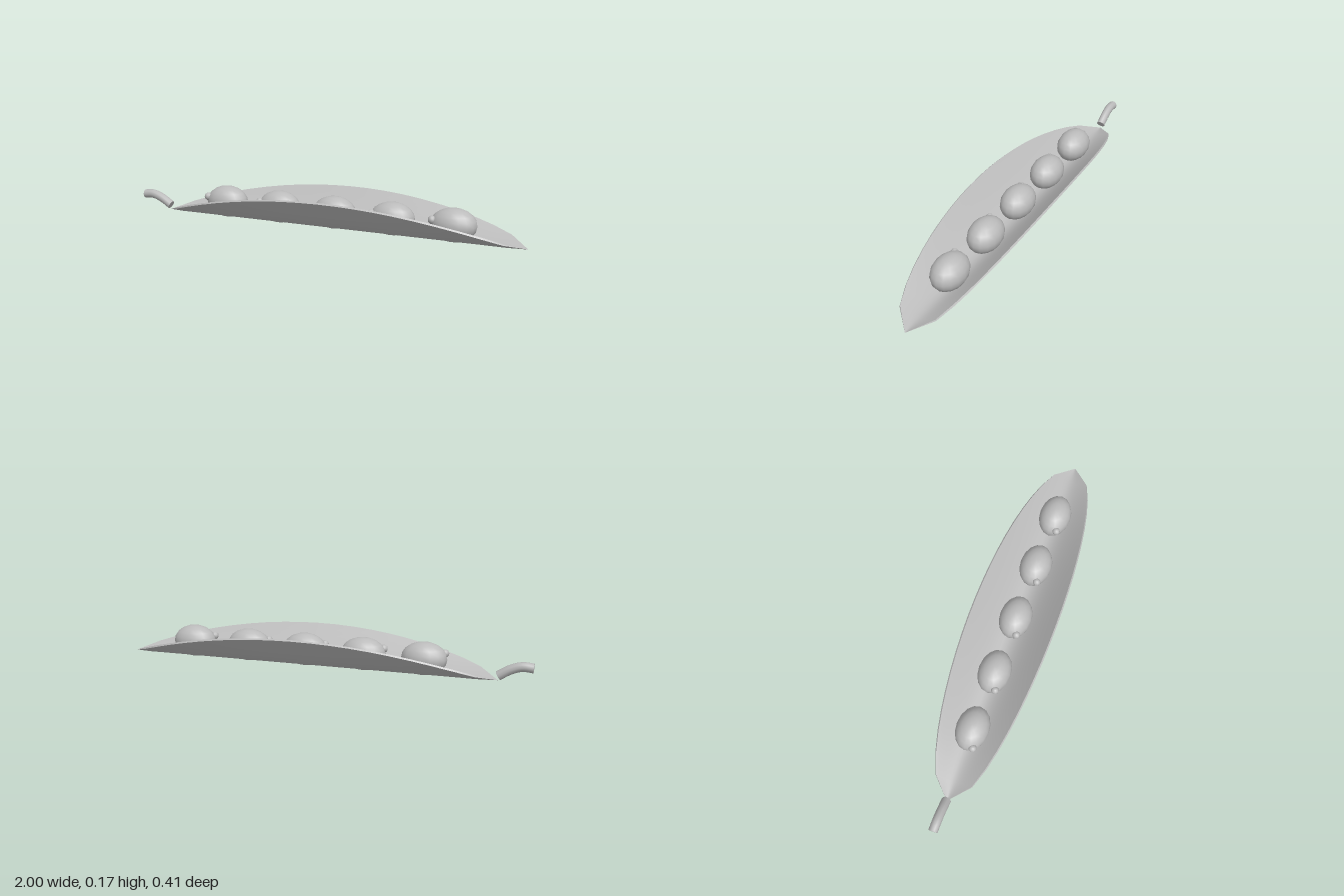
import * as THREE from 'three';

const grey = new THREE.MeshStandardMaterial({ color: 0xbbbbbb });
grey.name = 'plain grey';

function part(name, geometry, parent) {
  const mesh = new THREE.Mesh(geometry, grey);
  mesh.name = name;
  parent.add(mesh);
  return mesh;
}

// Smooth grid surface; point(a, b) takes a, b in 0..1
function surface(point, na, nb, flip) {
  const pos = [], index = [];
  for (let i = 0; i <= na; i++)
    for (let j = 0; j <= nb; j++) pos.push(...point(i / na, j / nb));
  for (let i = 0; i < na; i++)
    for (let j = 0; j < nb; j++) {
      const a = i * (nb + 1) + j, b = a + nb + 1;
      if (flip) index.push(a, a + 1, b, b, a + 1, b + 1);
      else index.push(a, b, a + 1, b, b + 1, a + 1);
    }
  const g = new THREE.BufferGeometry();
  g.setAttribute('position', new THREE.Float32BufferAttribute(pos, 3));
  g.setIndex(index);
  g.computeVertexNormals();
  return g;
}

// Pod shell: a rounded V section that shrinks towards both tips.
// t runs tip to tip, u from the back rim to the front rim, depth 0 outside to 1 inside.
const C = 0.44, K = Math.sqrt(1 + C * C) - C;
function podPoint(t, u, depth) {
  const taper = Math.max(0, 1 - t * t), w = 0.207 * Math.sqrt(taper), h = 0.156 * taper;
  const root = Math.sqrt(u * u + C * C);
  const dy = h * u / root / K, len = Math.hypot(dy, w) || 1;
  const th = 0.009 * depth * Math.min(1, taper * 4);
  return [
    0.08 + 0.92 * t,
    0.002 + h * (root - C) / K + th * w / len,
    w * u - th * dy / len,
  ];
}

export function createModel() {
  const model = new THREE.Group();
  model.name = 'peaPod';

  const pod = new THREE.Group();
  pod.name = 'pod';
  model.add(pod);
  const n = 20;
  part('podOutside', surface((a, b) => podPoint(2 * a - 1, 2 * b - 1, 0), n, 16, false), pod);
  part('podInside', surface((a, b) => podPoint(2 * a - 1, 2 * b - 1, 1), n, 16, true), pod);
  part('frontRim', surface((a, b) => podPoint(2 * a - 1, 1, b), n, 1, false), pod);
  part('backRim', surface((a, b) => podPoint(2 * a - 1, -1, b), n, 1, true), pod);

  // Row of peas, each with a small nub
  for (let i = 0; i < 5; i++) {
    const pea = new THREE.Group();
    pea.name = 'pea' + (i + 1);
    pea.position.set(-0.5 + i * 0.291, 0.077, 0);
    model.add(pea);
    part('peaBody', new THREE.SphereGeometry(1, 16, 10), pea).scale.set(0.108, 0.078, 0.078);
    const nub = part('peaNub', new THREE.SphereGeometry(0.019, 10, 8), pea);
    nub.position.set(-0.091, 0.022, 0.035);
  }

  // Curved stem with flat ends
  const stem = new THREE.Group();
  stem.name = 'stem';
  model.add(stem);
  const path = new THREE.CatmullRomCurve3([
    [-0.995, 0.07], [-0.945, 0.073], [-0.893, 0.056], [-0.84, 0.024],
  ].map(([x, y]) => new THREE.Vector3(x, y, 0)));
  part('stemTube', new THREE.TubeGeometry(path, 12, 0.022, 10), stem);
  for (const end of [0, 1]) {
    const cap = part('stemEnd', new THREE.CircleGeometry(0.022, 10), stem);
    const p = path.getPointAt(end);
    cap.position.copy(p);
    cap.lookAt(p.clone().addScaledVector(path.getTangentAt(end), end ? 1 : -1));
  }
  return model;
}
